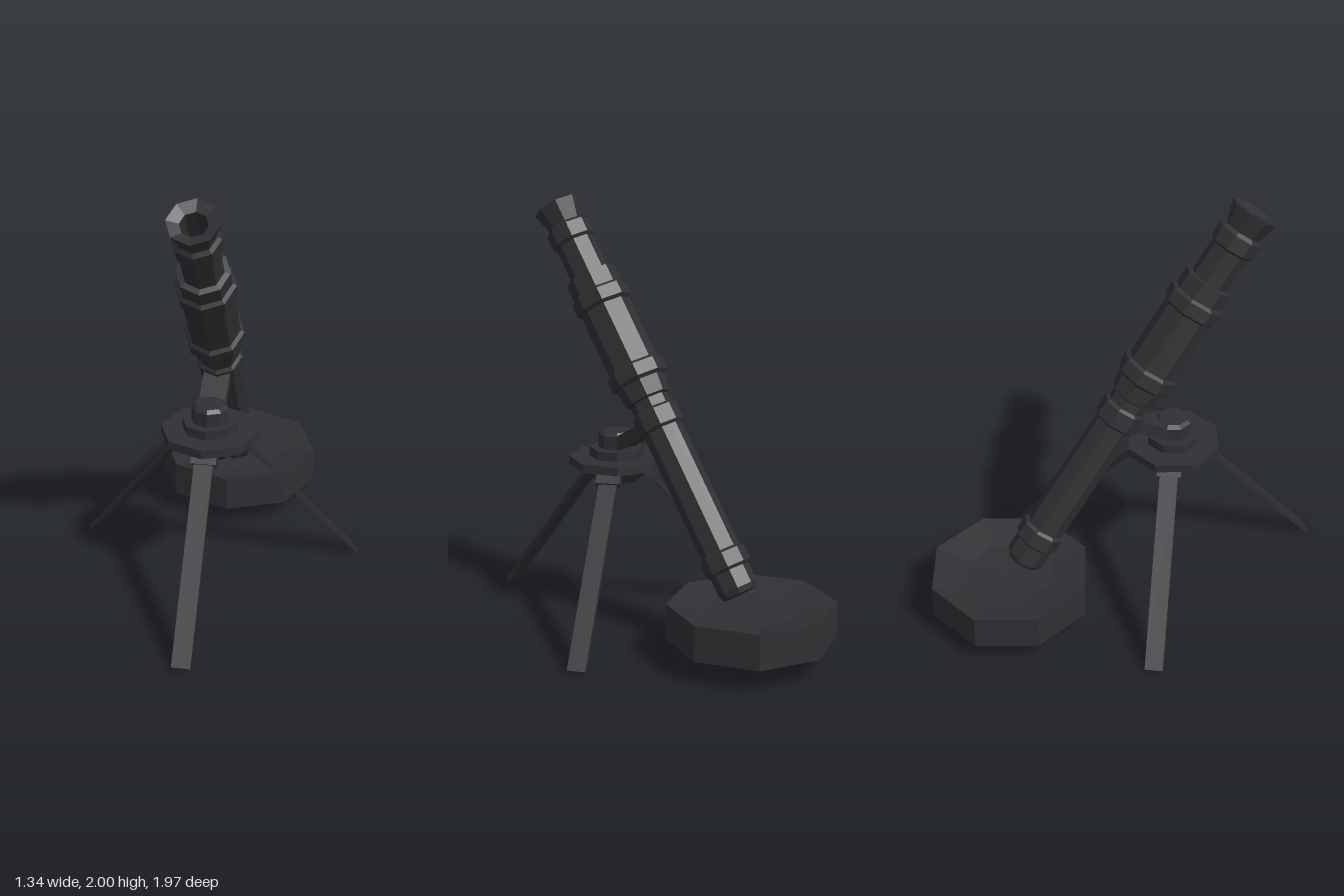
import * as THREE from 'three';

const metal = new THREE.MeshStandardMaterial({ color: 0x303034, flatShading: true });
const thinMetal = metal.clone();
thinMetal.side = THREE.DoubleSide;

const SIDES = 8;

function add(parent, name, geometry, material = metal) {
  const mesh = new THREE.Mesh(geometry, material);
  mesh.name = name;
  parent.add(mesh);
  return mesh;
}

// Eight-sided turned shape from [radius, height] pairs, listed from bottom to top
function turned(points) {
  return new THREE.LatheGeometry(points.map(([r, y]) => new THREE.Vector2(r, y)), SIDES);
}

// Chamfered ring between two heights
function collar(y0, y1, r, inner, bevel = 0.015) {
  return turned([[inner, y0], [r, y0 + bevel], [r, y1 - bevel], [inner, y1]]);
}

// Box whose length runs from a to b in the yz plane
function bar(parent, name, a, b, width, thickness) {
  const dy = b[0] - a[0], dz = b[1] - a[1];
  const mesh = add(parent, name, new THREE.BoxGeometry(width, Math.hypot(dy, dz), thickness));
  mesh.position.set(0, (a[0] + b[0]) / 2, (a[1] + b[1]) / 2);
  mesh.rotation.x = Math.atan2(dz, dy);
  return mesh;
}

function createBarrel() {
  // Origin at the muzzle centre, tube running down local -y
  const barrel = new THREE.Group();
  barrel.name = 'barrel';
  barrel.position.set(0, 1.935, 0.607);
  barrel.rotation.x = THREE.MathUtils.degToRad(35);

  // Tube with flared muzzle and hollow bore
  add(barrel, 'tube', turned([
    [0, -1.99], [0.08, -1.99], [0.093, -1.965], [0.093, -0.12], [0.085, -0.1],
    [0.116, 0], [0.062, -0.02], [0.06, -0.5], [0, -0.5],
  ]));

  // Thick sleeve around the upper half
  add(barrel, 'sleeve', turned([
    [0.09, -1.02], [0.108, -1.01], [0.12, -0.92], [0.12, -0.37], [0.09, -0.365],
  ]));

  // Reinforcing collars: [bottom, top, radius, inner radius]
  [
    [-0.2, -0.1, 0.107, 0.09],
    [-0.54, -0.45, 0.137, 0.118],
    [-0.93, -0.84, 0.137, 0.118],
    [-1.17, -1.06, 0.108, 0.09],
    [-1.88, -1.78, 0.108, 0.09],
  ].forEach(([y0, y1, r, inner]) => add(barrel, 'collar', collar(y0, y1, r, inner)));
  return barrel;
}

function createTripod() {
  const tripod = new THREE.Group();
  tripod.name = 'tripod';
  tripod.position.z = 0.233;

  // Hub: tapered underside, wide disc, step and chamfered cap
  add(tripod, 'hubUnderside', turned([[0, 0.69], [0.11, 0.69], [0.18, 0.765]]));
  add(tripod, 'hubDisc', new THREE.CylinderGeometry(0.225, 0.225, 0.04, SIDES)).position.y = 0.783;
  add(tripod, 'hubStep', new THREE.CylinderGeometry(0.127, 0.127, 0.045, SIDES)).position.y = 0.824;
  add(tripod, 'hubCap', turned([[0.085, 0.845], [0.085, 0.91], [0.07, 0.926], [0, 0.926]]));

  // Strut reaching back and up to the tube
  bar(tripod, 'strut', [0.85, -0.01], [1.0, -0.26], 0.12, 0.06);

  // Three flat legs with their mounting brackets
  for (let i = 0; i < 3; i++) {
    const leg = new THREE.Group();
    leg.name = 'leg';
    leg.rotation.y = (i * Math.PI * 2) / 3;
    bar(leg, 'legBar', [0.75, 0.125], [0.012, 0.74], 0.085, 0.022);
    bar(leg, 'legBracket', [0.755, 0.12], [0.7, 0.166], 0.115, 0.05);
    tripod.add(leg);
  }
  return tripod;
}

export function createModel() {
  const model = new THREE.Group();
  model.name = 'mortar';
  model.add(createBarrel(), createTripod());

  // Base plate: open-bottomed octagonal shell with a shallow dished top
  const base = add(model, 'basePlate',
    turned([[0.384, 0.115], [0.384, 0.28], [0.21, 0.245], [0, 0.24]]), thinMetal);
  base.position.z = -0.602;
  return model;
}
